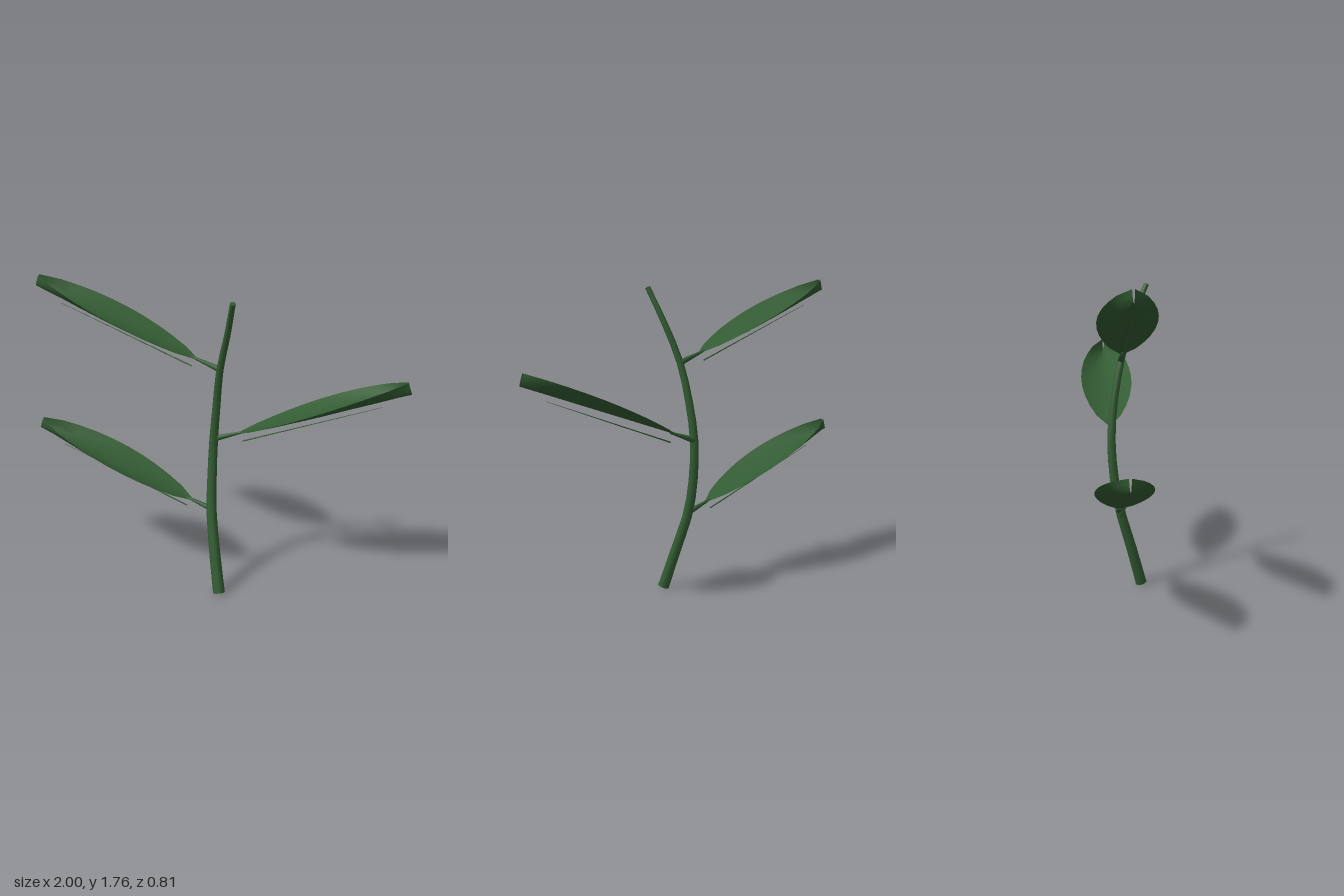
import * as THREE from 'three';

const green = new THREE.MeshStandardMaterial({ color: 0x335c33, side: THREE.DoubleSide });
green.name = 'leafGreen';

function add(parent, geometry, name) {
  const mesh = new THREE.Mesh(geometry, green);
  mesh.name = name;
  parent.add(mesh);
  return mesh;
}

// Round rod along local z, tapering from r0 to r1
function rod(z0, z1, r0, r1) {
  return new THREE.CylinderGeometry(r1, r0, z1 - z0, 8)
    .rotateX(Math.PI / 2).translate(0, 0, (z0 + z1) / 2);
}

// Curved stem: a unit tube whose rings are scaled to a taper, with end caps
function buildStem(parent) {
  const path = new THREE.CatmullRomCurve3([
    [0.127, 0.01, 0.123], [0.063, 0.24, 0.08], [0.005, 0.465, 0.032],
    [-0.015, 0.67, 0], [-0.015, 0.88, -0.015], [0.01, 1.09, -0.007],
    [0.055, 1.32, 0.022], [0.13, 1.53, 0.06], [0.21, 1.73, 0.122],
  ].map((p) => new THREE.Vector3(...p)));
  const rings = 16, sides = 8;
  const radius = (t) => 0.034 - 0.019 * t;
  const tube = new THREE.TubeGeometry(path, rings, 1, sides);
  const pos = tube.attributes.position;
  const v = new THREE.Vector3();
  for (let i = 0; i <= rings; i++) {
    const centre = path.getPointAt(i / rings);
    for (let j = 0; j <= sides; j++) {
      const k = i * (sides + 1) + j;
      v.fromBufferAttribute(pos, k).sub(centre).multiplyScalar(radius(i / rings)).add(centre);
      pos.setXYZ(k, v.x, v.y, v.z);
    }
  }
  add(parent, tube, 'stem');
  for (const t of [0, 1]) {
    const cap = add(parent, new THREE.CircleGeometry(radius(t), sides), t ? 'stemTop' : 'stemBase');
    const dir = path.getTangentAt(t).multiplyScalar(t ? 1 : -1);
    cap.position.copy(path.getPointAt(t));
    cap.quaternion.setFromUnitVectors(new THREE.Vector3(0, 0, 1), dir);
  }
}

// Blade along local z: straight keel, edges curling up more towards the tip
function bladeGeometry() {
  const geo = new THREE.PlaneGeometry(2, 1, 8, 10).rotateX(-Math.PI / 2);
  const pos = geo.attributes.position;
  for (let i = 0; i < pos.count; i++) {
    const u = pos.getX(i);
    const t = pos.getZ(i) + 0.5;
    const half = 0.007 + 0.146 * Math.pow(Math.max(0, Math.sin(Math.PI * t)), 0.7);
    pos.setXYZ(i, u * half, 0.066 * Math.sin(t * Math.PI / 2) * u * u, t);
  }
  geo.computeVertexNormals();
  return geo;
}

// Leaf with its stalk and the thin rib under the blade
function buildLeaf(parent, name, base, facing) {
  const leaf = new THREE.Group();
  leaf.name = name;
  leaf.position.set(...base);
  leaf.rotation.set(-Math.asin(0.335), Math.atan2(-0.89 * facing, 0.31 * facing), 0, 'YXZ');
  add(leaf, bladeGeometry(), 'blade');
  add(leaf, rod(-0.13, 0.04, 0.018, 0.006), 'stalk');
  const rib = add(leaf, rod(0, 0.81, 0.004, 0.001), 'rib');
  rib.position.set(0, -0.05, 0.02);
  rib.rotation.x = -0.021;
  parent.add(leaf);
}

export function createModel() {
  const plant = new THREE.Group();
  plant.name = 'leafySprig';
  buildStem(plant);
  buildLeaf(plant, 'lowerLeaf', [-0.108, 0.51, 0.06], 1);
  buildLeaf(plant, 'middleLeaf', [0.108, 0.935, -0.063], -1);
  buildLeaf(plant, 'upperLeaf', [-0.066, 1.365, 0.06], 1);
  return plant;
}
